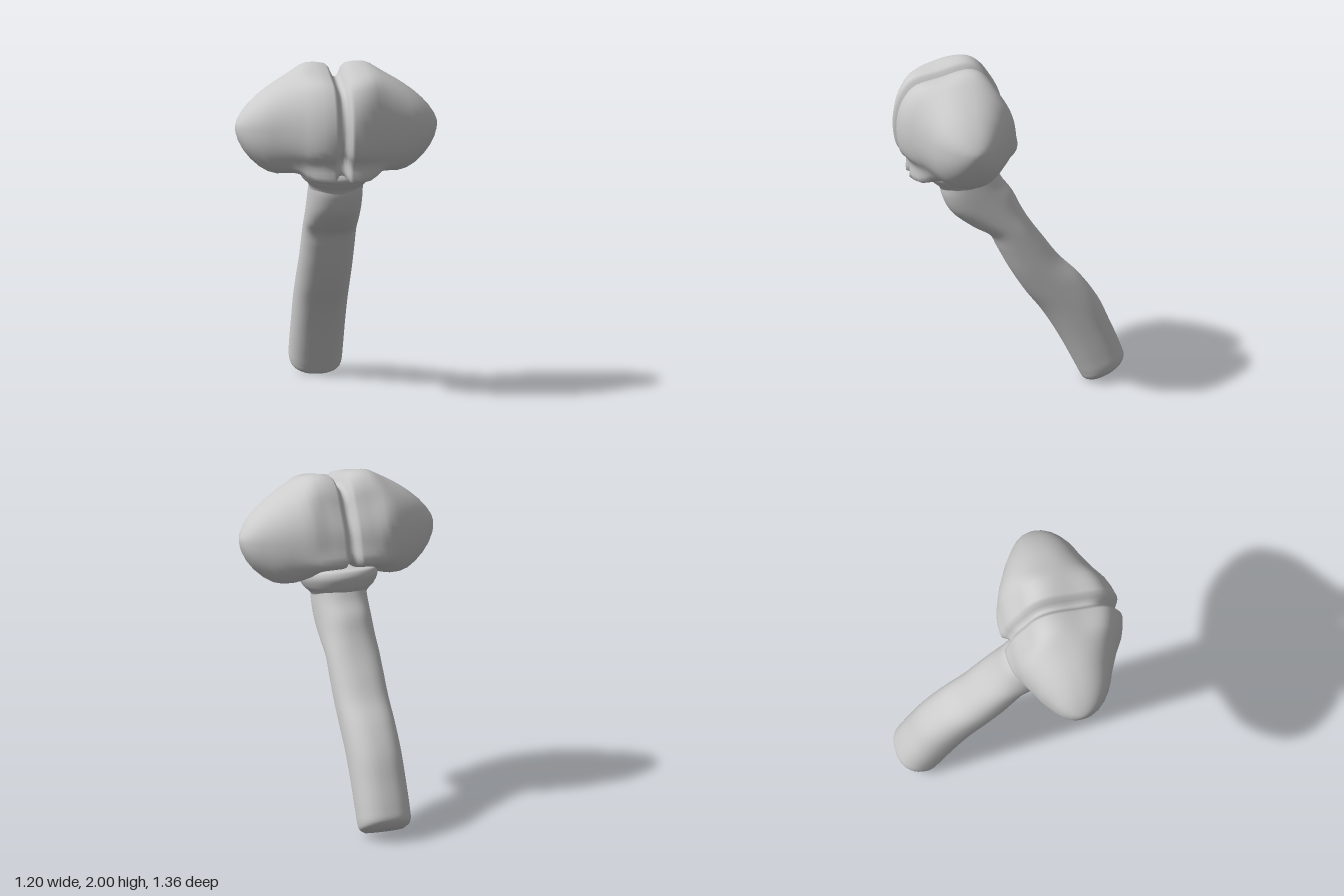
import * as THREE from 'three';

const material = new THREE.MeshStandardMaterial({ color: 0xcccccc });

// Skin a list of equal-length closed rings and close both ends with a fan
function loft(name, rings) {
  const n = rings[0].length, pos = [], idx = [];
  rings.forEach(r => r.forEach(p => pos.push(p.x, p.y, p.z)));
  for (let i = 0; i < rings.length - 1; i++) {
    for (let j = 0; j < n; j++) {
      const a = i * n + j, b = i * n + (j + 1) % n, c = a + n, d = b + n;
      idx.push(a, c, b, b, c, d);
    }
  }
  [0, rings.length - 1].forEach((i, end) => {
    const mid = rings[i].reduce((s, p) => s.add(p), new THREE.Vector3()).divideScalar(n);
    const m = pos.length / 3;
    pos.push(mid.x, mid.y, mid.z);
    for (let j = 0; j < n; j++) {
      const a = i * n + j, b = i * n + (j + 1) % n;
      if (end) idx.push(a, m, b); else idx.push(a, b, m);
    }
  });
  const g = new THREE.BufferGeometry();
  g.setAttribute('position', new THREE.Float32BufferAttribute(pos, 3));
  g.setIndex(idx);
  g.computeVertexNormals();
  const mesh = new THREE.Mesh(g, material);
  mesh.name = name;
  return mesh;
}

const power = (v, e) => Math.sign(v) * Math.abs(v) ** e;

// Slanted rings from rows of [front z, front y, back z, back y, half width]
function slantedRings(rows, exponent, centreX, steps) {
  const curve = k => new THREE.CatmullRomCurve3(rows.map(r => new THREE.Vector3(r[k], r[k + 1], r[4])));
  const front = curve(0), back = curve(2), rings = [];
  for (let i = 0; i <= steps; i++) {
    const f = front.getPoint(i / steps), b = back.getPoint(i / steps), ring = [];
    for (let j = 0; j < 40; j++) {
      const t = j / 40 * Math.PI * 2;
      const c = power(Math.cos(t), 2 / exponent), s = power(Math.sin(t), 2 / exponent);
      ring.push(new THREE.Vector3(centreX + s * f.z,
        (f.y + b.y) / 2 + c * (f.y - b.y) / 2, (f.x + b.x) / 2 + c * (f.x - b.x) / 2));
    }
    rings.push(ring);
  }
  return rings;
}

// Bent stem with a rounded foot
function stem() {
  return loft('stem', slantedRings([
    [0.41, 1.27, 0.08, 1.36, 0.155],
    [0.40, 1.20, 0.04, 1.28, 0.157],
    [0.35, 1.10, -0.02, 1.20, 0.157],
    [0.23, 1.005, -0.07, 1.10, 0.157],
    [0.12, 0.94, -0.13, 1.00, 0.157],
    [0.07, 0.85, -0.21, 0.89, 0.157],
    [0.00, 0.72, -0.30, 0.77, 0.157],
    [-0.09, 0.58, -0.42, 0.65, 0.157],
    [-0.19, 0.45, -0.53, 0.50, 0.157],
    [-0.29, 0.29, -0.60, 0.35, 0.157],
    [-0.38, 0.12, -0.66, 0.21, 0.157],
    [-0.415, 0.05, -0.68, 0.145, 0.155],
    [-0.435, 0.015, -0.67, 0.115, 0.145],
    [-0.46, 0.003, -0.64, 0.08, 0.115]
  ], 2.4, 0.01, 78));
}

// Flared collar between stem and head
function collar() {
  return loft('collar', slantedRings([
    [0.20, 1.47, 0.16, 1.48, 0.05],
    [0.42, 1.40, 0.09, 1.46, 0.18],
    [0.48, 1.36, 0.035, 1.46, 0.225],
    [0.49, 1.325, 0.02, 1.425, 0.23],
    [0.46, 1.29, 0.04, 1.36, 0.205],
    [0.42, 1.255, 0.07, 1.31, 0.165],
    [0.395, 1.21, 0.06, 1.28, 0.15]
  ], 2.1, 0.005, 36));
}

// Head: side profile near the middle, easing to ovals towards both tips
function head() {
  const profile = [
    [0.60, 1.34], [0.605, 1.44], [0.655, 1.50], [0.68, 1.62], [0.67, 1.75], [0.63, 1.85],
    [0.57, 1.915], [0.42, 1.96], [0.27, 2.0], [0.20, 1.99], [0.14, 1.94], [0.09, 1.85],
    [0.02, 1.72], [-0.01, 1.62], [-0.03, 1.53], [0.0, 1.495], [0.08, 1.47], [0.20, 1.43],
    [0.33, 1.40], [0.42, 1.365], [0.50, 1.34], [0.585, 1.33]
  ];
  const curve = new THREE.CatmullRomCurve3(
    profile.map(([z, y]) => new THREE.Vector3(0, y, z)), true, 'centripetal');
  const unit = curve.getSpacedPoints(80).slice(0, 80).map(p => {
    const z = (p.z - 0.31) / (p.z > 0.31 ? 0.37 : 0.34);
    const y = (p.y - 1.64) / (p.y > 1.64 ? 0.36 : 0.31);
    return { z, y, t: Math.atan2(y, z) };
  });
  // [x, top, bottom, front, back, share of oval]
  const half = [
    [0.0, 1.91, 1.37, 0.61, 0.015, 0],
    [0.015, 1.915, 1.367, 0.615, 0.01, 0],
    [0.028, 1.94, 1.35, 0.635, -0.005, 0],
    [0.042, 1.972, 1.335, 0.668, -0.025, 0],
    [0.06, 1.99, 1.33, 0.68, -0.03, 0],
    [0.12, 2.0, 1.33, 0.665, -0.03, 0.03],
    [0.17, 1.998, 1.33, 0.645, -0.025, 0.15],
    [0.21, 1.985, 1.335, 0.62, -0.018, 0.45],
    [0.25, 1.96, 1.35, 0.595, 0.0, 0.75],
    [0.30, 1.93, 1.355, 0.57, 0.025, 0.95],
    [0.36, 1.895, 1.357, 0.54, 0.06, 1],
    [0.41, 1.862, 1.37, 0.52, 0.085, 1],
    [0.46, 1.825, 1.40, 0.495, 0.12, 1],
    [0.51, 1.78, 1.445, 0.46, 0.155, 1],
    [0.55, 1.735, 1.495, 0.42, 0.19, 1],
    [0.58, 1.69, 1.55, 0.375, 0.23, 1],
    [0.593, 1.66, 1.59, 0.34, 0.265, 1],
    [0.598, 1.645, 1.615, 0.32, 0.285, 1]
  ];
  const stations = [...half.slice(1).reverse().map(s => [-s[0], ...s.slice(1)]), ...half];
  return loft('head', stations.map(([x, top, bottom, front, back, oval]) => {
    const ease = Math.min(1, Math.abs(x) / 0.6);
    const cy = 1.64 - 0.01 * ease, cz = 0.31 - 0.01 * ease;
    return unit.map(({ z, y, t }) => {
      const nz = THREE.MathUtils.lerp(z, power(Math.cos(t), 0.9), oval);
      const ny = THREE.MathUtils.lerp(y, power(Math.sin(t), 0.9), oval);
      return new THREE.Vector3(x,
        cy + ny * (ny > 0 ? top - cy : cy - bottom),
        cz + nz * (nz > 0 ? front - cz : cz - back));
    });
  }));
}

export function createModel() {
  const group = new THREE.Group();
  group.name = 'twoLobedHammer';
  group.add(stem(), collar(), head());
  return group;
}
